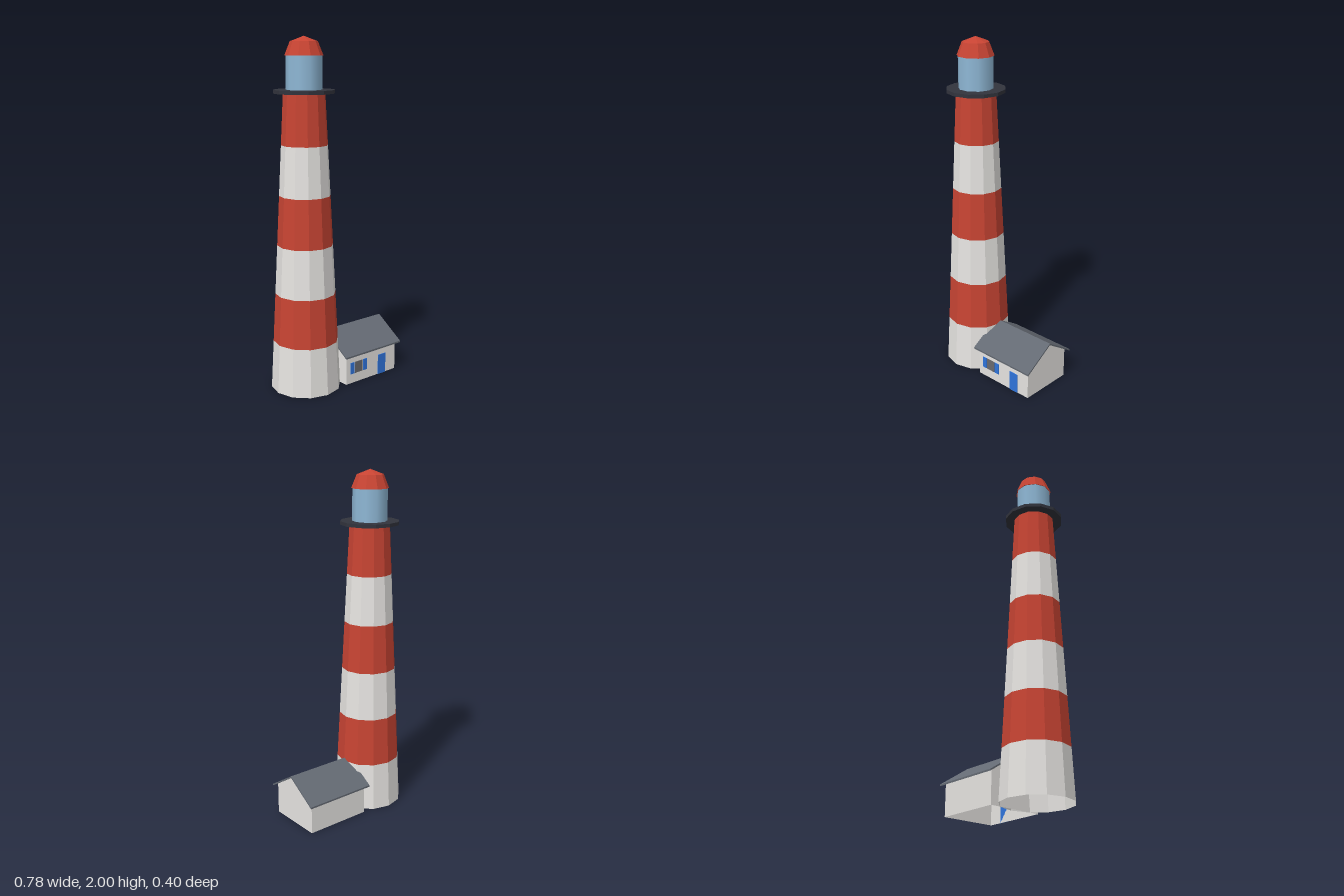
import * as THREE from 'three';

const material = (name, color, extra = {}) => {
  const m = new THREE.MeshStandardMaterial({ color, ...extra });
  m.name = name;
  return m;
};

export function createModel() {
  const open = { flatShading: true, side: THREE.DoubleSide };
  const white = material('white paint', 0xe6e4e1, open);
  const red = material('red paint', 0xc84433, open);
  const glass = material('lantern glass', 0x8fb8d6, { side: THREE.DoubleSide });
  const deckGrey = material('dark deck', 0x32343d, { flatShading: true });
  const slate = material('roof slate', 0x646a73, { flatShading: true });
  const blue = material('blue paint', 0x2f74dc);
  const pane = material('window pane', 0x6a6a6e);

  const model = new THREE.Group();
  model.name = 'lighthouse';
  const add = (parent, name, geometry, mat, x = 0, y = 0, z = 0) => {
    const mesh = new THREE.Mesh(geometry, mat);
    mesh.name = name;
    mesh.position.set(x, y, z);
    parent.add(mesh);
    return mesh;
  };

  // Tapered twelve-sided tower in six bands, open underneath
  const tower = new THREE.Group();
  tower.name = 'tower';
  tower.position.x = -0.19;
  model.add(tower);
  const bands = 6, height = 1.695, bandHeight = height / bands;
  const radiusAt = (i) => THREE.MathUtils.lerp(0.202, 0.117, i / bands);
  for (let i = 0; i < bands; i++) {
    add(tower, `band${i + 1}`,
      new THREE.CylinderGeometry(radiusAt(i + 1), radiusAt(i), bandHeight, 12, 1, true),
      i % 2 ? red : white, 0, (i + 0.5) * bandHeight);
  }

  // Gallery deck, lantern room and faceted dome
  add(tower, 'galleryDeck', new THREE.CylinderGeometry(0.17, 0.17, 0.02, 12), deckGrey, 0, 1.704);
  add(tower, 'lanternRoom', new THREE.CylinderGeometry(0.1, 0.1, 0.186, 10, 1, true), glass, 0, 1.805)
    .rotation.y = Math.PI / 2;
  const dome = [[0.106, 1.896], [0.076, 1.971], [0, 2]].map(([r, y]) => new THREE.Vector2(r, y));
  add(tower, 'dome', new THREE.LatheGeometry(dome, 10), red).rotation.y = Math.PI / 2;

  // House walls, open underneath
  const house = new THREE.Group();
  house.name = 'house';
  house.position.x = 0.175;
  model.add(house);
  const halfLength = 0.195, halfDepth = 0.165, eave = 0.185, ridge = 0.292;
  const gable = new THREE.Shape([
    [-halfDepth, 0], [halfDepth, 0], [halfDepth, eave], [0, ridge], [-halfDepth, eave],
  ].map(([x, y]) => new THREE.Vector2(x, y)));
  for (const side of [1, -1]) {
    add(house, side > 0 ? 'frontWall' : 'backWall', new THREE.PlaneGeometry(2 * halfLength, eave),
      white, 0, eave / 2, side * halfDepth).rotation.y = side > 0 ? 0 : Math.PI;
    add(house, side > 0 ? 'leftGable' : 'rightGable', new THREE.ShapeGeometry(gable),
      white, side * halfLength, 0, 0).rotation.y = side * Math.PI / 2;
  }

  // Thin pitched roof with overhang
  const roofShape = new THREE.Shape([
    [-0.189, 0.17], [0, 0.292], [0.189, 0.17], [0.189, 0.18], [0, 0.302], [-0.189, 0.18],
  ].map(([x, y]) => new THREE.Vector2(x, y)));
  const roof = new THREE.ExtrudeGeometry(roofShape, { depth: 0.434, bevelEnabled: false });
  add(house, 'roof', roof.translate(0, 0, -0.217).rotateY(Math.PI / 2), slate);

  // Door, window and shutters on the front wall
  const panel = (name, mat, x0, x1, y0, y1) => add(model, name,
    new THREE.BoxGeometry(x1 - x0, y1 - y0, 0.004), mat, (x0 + x1) / 2, (y0 + y1) / 2, halfDepth + 0.002);
  panel('door', blue, 0.23, 0.289, 0, 0.122);
  panel('window', pane, 0.045, 0.104, 0.058, 0.127);
  panel('rightShutter', blue, 0.012, 0.04, 0.058, 0.127);
  panel('leftShutter', blue, 0.109, 0.14, 0.058, 0.127);

  return model;
}
